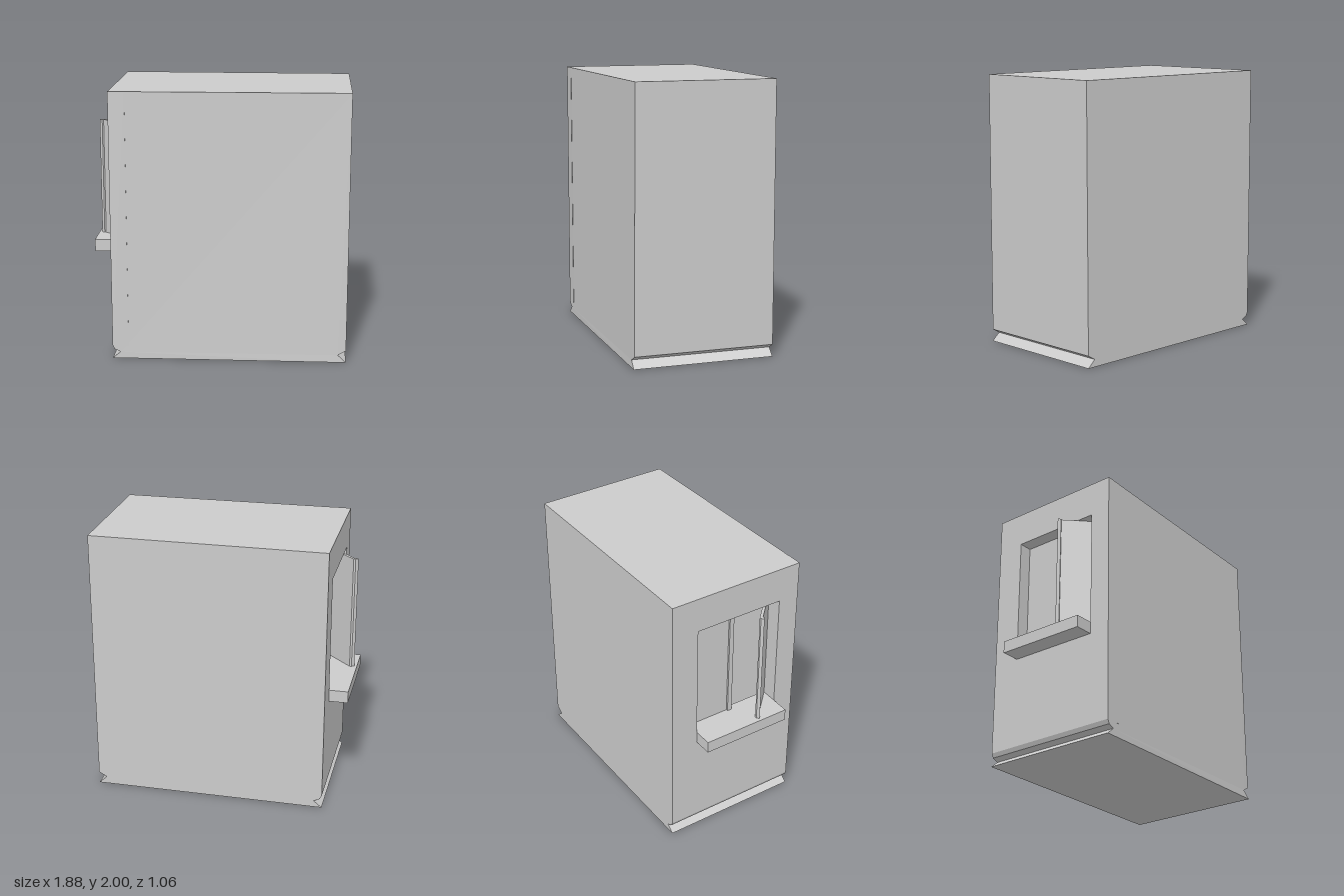
import * as THREE from 'three';

const BACK = -0.53;
// the front wall is slightly out of square: it recedes towards +x and towards the top
const frontZ = (x, y) => 0.53 - ((x + 0.8) / 1.73) * (0.015 + 0.015 * Math.min(1, y / 0.3));

// outline of the block seen from the front, with a notch along each foot
const OUTLINE = [
  [-0.8, 0.1], [-0.785, 0.07], [-0.74, 0.05], [-0.8, 0],
  [0.93, 0], [0.87, 0.055], [0.93, 0.09], [0.935, 2], [-0.8, 2],
];

export function createModel() {
  const model = new THREE.Group();
  const grey = new THREE.MeshStandardMaterial({ color: 0xcccccc, flatShading: true, side: THREE.DoubleSide });

  const add = (name, geometry, parent = model) => {
    const mesh = new THREE.Mesh(geometry, grey);
    mesh.name = name;
    parent.add(mesh);
    return mesh;
  };

  const box = (name, [x0, x1], [y0, y1], [z0, z1], parent) => {
    const mesh = add(name, new THREE.BoxGeometry(x1 - x0, y1 - y0, z1 - z0), parent);
    mesh.position.set((x0 + x1) / 2, (y0 + y1) / 2, (z0 + z1) / 2);
    return mesh;
  };

  const toShape = (points) => new THREE.Shape(points.map(([x, y]) => new THREE.Vector2(x, y)));

  // front and back walls
  const front = new THREE.ShapeGeometry(toShape(OUTLINE));
  const p = front.attributes.position;
  for (let i = 0; i < p.count; i++) p.setZ(i, frontZ(p.getX(i), p.getY(i)));
  front.computeVertexNormals();
  add('frontWall', front);
  const back = add('backWall', new THREE.ShapeGeometry(toShape(OUTLINE.map(([x, y]) => [-x, y]))));
  back.rotation.y = Math.PI;
  back.position.z = BACK;

  // foot notches, floor, plain side and roof: strips between the two walls
  const strip = [];
  for (let i = 0; i < OUTLINE.length - 1; i++) {
    const [ax, ay] = OUTLINE[i], [bx, by] = OUTLINE[i + 1];
    const a = [ax, ay, frontZ(ax, ay)], b = [bx, by, frontZ(bx, by)];
    const c = [bx, by, BACK], d = [ax, ay, BACK];
    strip.push(...a, ...d, ...b, ...b, ...d, ...c);
  }
  const shell = new THREE.BufferGeometry();
  shell.setAttribute('position', new THREE.Float32BufferAttribute(strip, 3));
  shell.computeVertexNormals();
  add('sidesFloorAndRoof', shell);

  // thick wall with the window opening
  const wall = toShape([[BACK, 0.1], [0.53, 0.1], [0.53, 2], [BACK, 2]]);
  wall.holes.push(toShape([[-0.32, 0.78], [-0.32, 1.74], [0.37, 1.74], [0.37, 0.78]]));
  const windowWall = add('windowWall', new THREE.ExtrudeGeometry(wall, { depth: 0.12, bevelEnabled: false }));
  windowWall.rotation.y = -Math.PI / 2;
  windowWall.position.x = -0.68;

  // window: sill, closed leaf, centre post and the leaf standing open
  const windowGroup = new THREE.Group();
  windowGroup.name = 'window';
  model.add(windowGroup);
  box('sill', [-0.94, -0.67], [0.78, 0.87], [-0.32, 0.37], windowGroup);
  box('closedLeaf', [-0.7, -0.675], [0.87, 1.74], [-0.32, 0.03], windowGroup);
  box('centrePost', [-0.715, -0.68], [0.87, 1.73], [0.01, 0.045], windowGroup);

  const leaf = toShape([
    [-0.9, -0.135], [-0.92, -0.15], [-0.9, -0.165], [-0.89, -0.16],
    [-0.68, -0.37], [-0.68, -0.34], [-0.885, -0.135],
  ]);
  const openLeaf = add('openLeaf', new THREE.ExtrudeGeometry(leaf, { depth: 0.865, bevelEnabled: false }), windowGroup);
  openLeaf.rotation.x = -Math.PI / 2;
  openLeaf.position.y = 0.87;

  return model;
}
